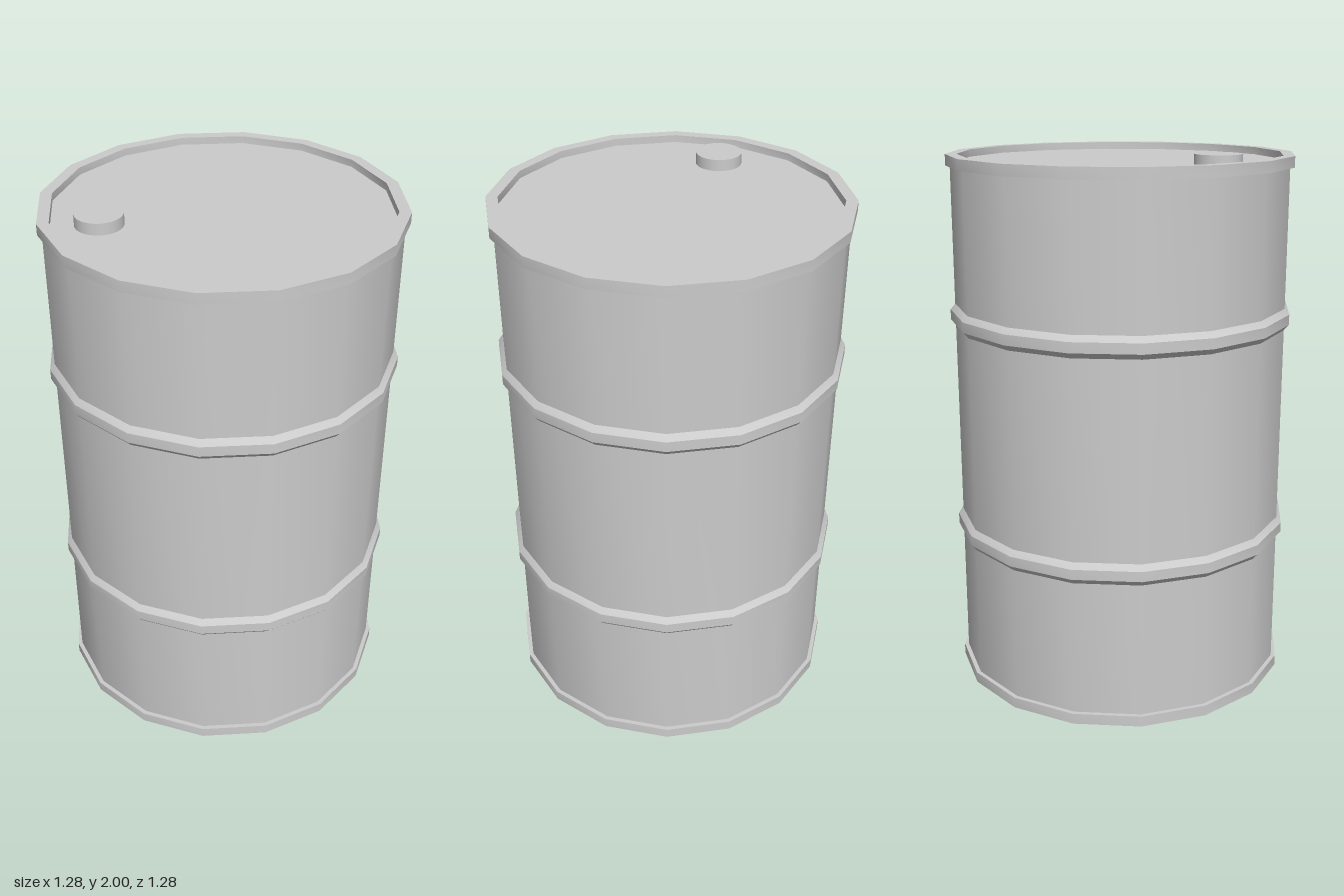
import * as THREE from 'three';
import { toCreasedNormals } from 'three/addons/utils/BufferGeometryUtils.js';

const SIDES = 16;
const HEIGHT = 1.985;
const BODY_R = 0.62;
const RIM_R = 0.636;
const INNER_R = 0.594;
const RECESS = 0.027;
const RIM_H = 0.04;

export function createModel() {
  const model = new THREE.Group();
  const material = new THREE.MeshStandardMaterial({ color: 0xcccccc });

  const add = (name, geometry) => {
    const mesh = new THREE.Mesh(geometry, material);
    mesh.name = name;
    model.add(mesh);
    return mesh;
  };

  // Turned part: smooth around the drum, sharp along the profile
  const turned = (name, profile) => {
    const points = profile.map(([r, y]) => new THREE.Vector2(r, y));
    return add(name, toCreasedNormals(new THREE.LatheGeometry(points, SIDES), 0.55));
  };

  // Straight wall between the two rims
  turned('body', [[BODY_R, RIM_H], [BODY_R, HEIGHT - RIM_H]]);

  // Raised rolling hoops
  for (const [name, y] of [['lowerHoop', 0.588], ['upperHoop', 1.4]]) {
    turned(name, [
      [BODY_R, y - 0.04], [RIM_R + 0.002, y - 0.019],
      [RIM_R + 0.002, y + 0.019], [BODY_R, y + 0.04],
    ]);
  }

  // Rolled rims with an inner wall down to the recessed ends
  turned('topRim', [
    [BODY_R, HEIGHT - RIM_H], [RIM_R, HEIGHT - RIM_H], [RIM_R, HEIGHT],
    [INNER_R, HEIGHT], [INNER_R, HEIGHT - RECESS],
  ]);
  turned('bottomRim', [
    [INNER_R, RECESS], [INNER_R, 0], [RIM_R, 0], [RIM_R, RIM_H], [BODY_R, RIM_H],
  ]);

  // Recessed end plates
  const lid = add('lid', new THREE.CircleGeometry(INNER_R, SIDES).rotateX(-Math.PI / 2));
  lid.position.y = HEIGHT - RECESS;
  const base = add('base', new THREE.CircleGeometry(INNER_R, SIDES).rotateX(Math.PI / 2));
  base.position.y = RECESS;

  // Filler cap standing on the lid
  const capHeight = 2 - (HEIGHT - RECESS);
  const cap = add('fillerCap', new THREE.CylinderGeometry(0.084, 0.084, capHeight, 32));
  cap.position.set(-0.427, 2 - capHeight / 2, 0);

  return model;
}
